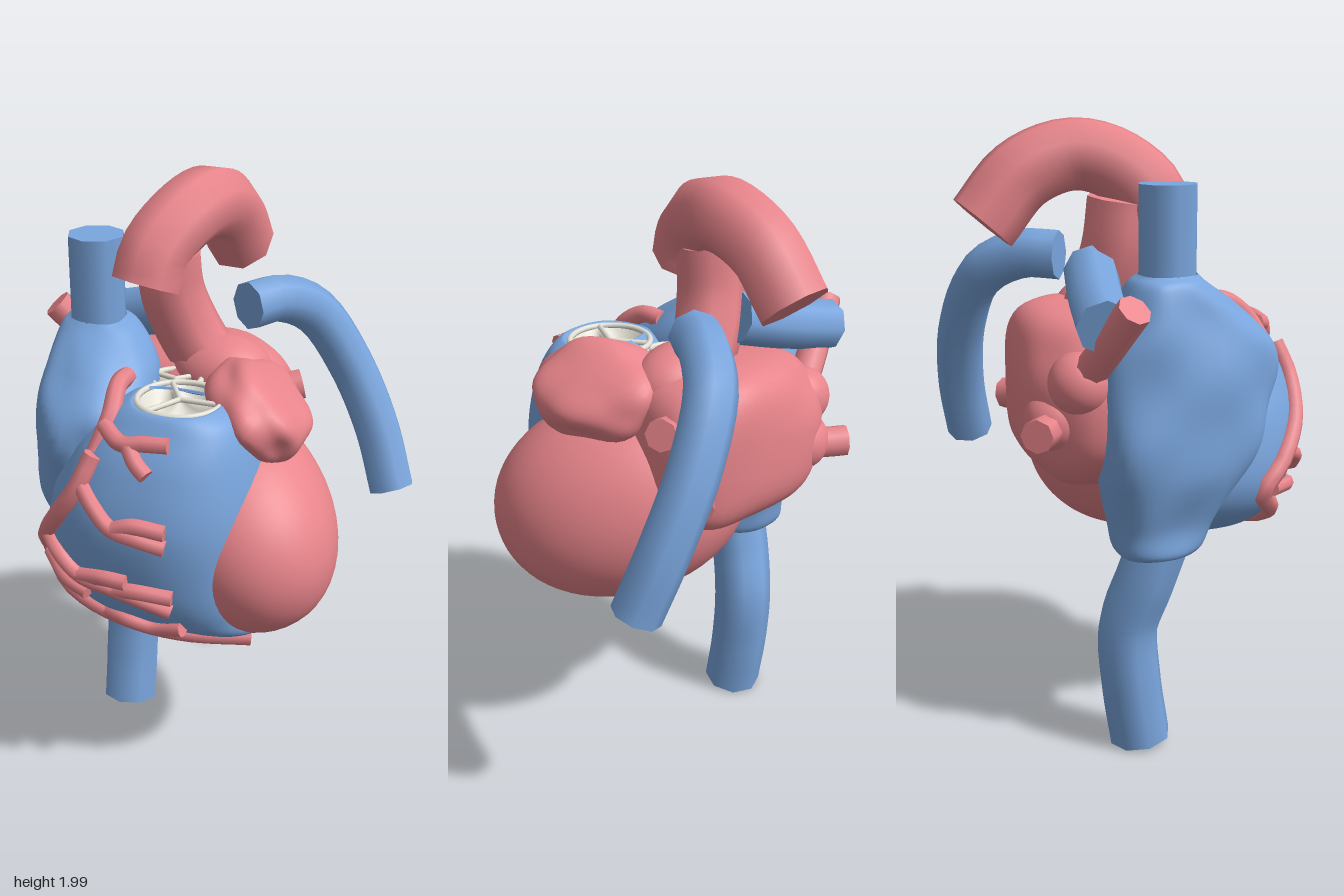
import * as THREE from 'three';
import { mergeVertices } from 'three/addons/utils/BufferGeometryUtils.js';

const V = (p) => new THREE.Vector3(...p);
const mat = (color) => new THREE.MeshStandardMaterial({ color, side: THREE.DoubleSide });
const RED = mat(0xe8858b), BLUE = mat(0x7aa6de), CREAM = mat(0xe4e1d6);

// Cross-sections from bottom to top: [y, centre x, centre z, radius x, radius z]
const RIGHT_VENTRICLE = [
  [0.625, 0.14, 0.2, 0.02, 0.02], [0.65, 0.1, 0.2, 0.22, 0.16], [0.73, 0, 0.18, 0.32, 0.27],
  [0.87, -0.05, 0.17, 0.36, 0.34], [1.07, -0.04, 0.17, 0.345, 0.365], [1.25, -0.01, 0.18, 0.29, 0.31],
  [1.36, 0.02, 0.21, 0.22, 0.215], [1.405, 0.03, 0.235, 0.148, 0.155], [1.4, 0.03, 0.235, 0.13, 0.13],
];
const RIGHT_ATRIUM = [
  [0.68, -0.34, -0.01, 0.02, 0.02], [0.685, -0.34, -0.01, 0.12, 0.13], [0.78, -0.33, 0.01, 0.14, 0.18],
  [0.95, -0.325, 0.05, 0.19, 0.25], [1.15, -0.315, 0.08, 0.2, 0.29], [1.32, -0.305, 0.09, 0.195, 0.29],
  [1.43, -0.31, 0.06, 0.175, 0.21], [1.52, -0.335, 0.02, 0.13, 0.125], [1.55, -0.34, 0.02, 0.09, 0.09],
];
const SQUARENESS = 0.8;

// Smooth interpolation through a list of cross-sections
function sectionAt(sections) {
  const curve = (f) => new THREE.CatmullRomCurve3(sections.map(f), false, 'catmullrom', 0.5);
  const centre = curve((s) => V([s[1], s[0], s[2]]));
  const radius = curve((s) => V([s[3], s[0], s[4]]));
  return (t) => ({ c: centre.getPoint(t), r: radius.getPoint(t) });
}

function smooth(geo) {
  geo.deleteAttribute('uv');
  geo.deleteAttribute('normal');
  const merged = mergeVertices(geo, 1e-5);
  merged.computeVertexNormals();
  return merged;
}

// Gentle waviness for the muscle surfaces
const lumps = (x, y, z) => Math.sin(17 * x + 5 * y) * Math.sin(15 * y + 2) * Math.sin(14 * z + 1);
const signedPower = (v, power) => Math.sign(v) * Math.abs(v) ** power;

// Chamber from cross-sections; rear flattens its back half, skew leans the front towards +x
function loft(sections, lump, rear, skew) {
  const at = sectionAt(sections);
  const geo = new THREE.CylinderGeometry(1, 1, 1, 48, 64, true);
  const p = geo.attributes.position;
  for (let i = 0; i < p.count; i++) {
    const { c, r } = at(p.getY(i) + 0.5);
    const x = signedPower(p.getX(i), SQUARENESS), z = signedPower(p.getZ(i), SQUARENESS);
    const k = 1 + lump * lumps(x * 0.3, c.y, z * 0.3);
    const dz = z * r.z * k * (z < 0 ? rear : 1);
    p.setXYZ(i, c.x + x * r.x * k + skew * dz, c.y, c.z + dz);
  }
  return smooth(geo);
}

// Rounded mass: power below 1 makes it boxier
function blob(radii, power = 1, lump = 0) {
  const geo = new THREE.SphereGeometry(1, 48, 32);
  const p = geo.attributes.position;
  for (let i = 0; i < p.count; i++) {
    const [x, y, z] = [p.getX(i), p.getY(i), p.getZ(i)];
    const k = 1 + lump * lumps(x * 0.25, y * 0.25, z * 0.25);
    p.setXYZ(i, ...[x, y, z].map((v, j) => signedPower(v, power) * radii[j] * k));
  }
  return smooth(geo);
}

// Front z of a lofted chamber at a given x and y
function frontOf(sections) {
  const at = sectionAt(sections);
  return (x, y) => {
    let lo = 0, hi = 1;
    for (let i = 0; i < 24; i++) {
      const m = (lo + hi) / 2;
      if (at(m).c.y < y) lo = m; else hi = m;
    }
    const { c, r } = at(lo);
    const u = Math.min(1, Math.abs((x - c.x) / r.x));
    return c.z + r.z * (1 - u ** (2 / SQUARENESS)) ** (SQUARENESS / 2);
  };
}

export function createModel() {
  const model = new THREE.Group();
  const add = (name, geo, material, pos = [0, 0, 0], rot = [0, 0, 0], parent = model) => {
    const mesh = new THREE.Mesh(geo, material);
    mesh.name = name;
    mesh.position.set(...pos);
    mesh.rotation.set(...rot);
    parent.add(mesh);
    return mesh;
  };
  // Vessel with flat closed ends
  const vessel = (name, pts, radius, material, steps = 20, sides = 8) => {
    const group = new THREE.Group();
    group.name = name;
    const curve = new THREE.CatmullRomCurve3(pts.map(V));
    add(name + 'Wall', new THREE.TubeGeometry(curve, steps, radius, sides), material, [0, 0, 0], [0, 0, 0], group);
    const frames = curve.computeFrenetFrames(steps, false);
    for (const t of [0, 1]) {
      const n = frames.tangents[t * steps].clone().multiplyScalar(t ? 1 : -1);
      const cap = add(name + 'End', new THREE.CircleGeometry(radius, sides), material, curve.getPoint(t).toArray(), [0, 0, 0], group);
      const u = frames.normals[t * steps];
      cap.quaternion.setFromRotationMatrix(new THREE.Matrix4().makeBasis(u, n.clone().cross(u), n));
    }
    model.add(group);
  };

  // Chambers
  add('rightVentricle', loft(RIGHT_VENTRICLE, 0, 0.45, 0), BLUE);
  add('rightAtrium', loft(RIGHT_ATRIUM, 0.06, 1, 0.15), BLUE);
  add('leftVentricle', blob([0.305, 0.335, 0.43], 0.97), RED, [0.155, 0.945, 0.06], [0.43, 0.7, 0]);
  add('leftAtrium', blob([0.345, 0.28, 0.225], 0.75, 0.06), RED, [-0.08, 1.16, -0.185], [0, 0, 0.12]);
  add('leftAuricle', blob([0.17, 0.115, 0.22], 0.88, 0.12), RED, [0.225, 1.335, 0.07], [0.05, 0.4, -0.65]);
  add('aorticRoot', blob([0.17, 0.12, 0.13]), RED, [0.04, 1.37, -0.1]);

  // Great vessels
  vessel('superiorVenaCava', [[-0.34, 1.48, 0.02], [-0.34, 1.65, 0.02], [-0.34, 1.815, 0.02]], 0.092, BLUE, 4);
  vessel('inferiorVenaCava', [[-0.3, 0.02, -0.05], [-0.3, 0.22, -0.08], [-0.3, 0.42, -0.09],
    [-0.33, 0.58, -0.045], [-0.345, 0.72, 0]], 0.1, BLUE);
  vessel('ascendingAorta', [[-0.13, 1.755, -0.06], [-0.12, 1.62, -0.075], [-0.08, 1.5, -0.1], [0, 1.36, -0.12]], 0.108, RED);
  vessel('aorticArch', [[-0.155, 1.685, 0.06], [-0.14, 1.78, 0.025], [-0.09, 1.865, -0.08], [-0.055, 1.888, -0.2],
    [-0.042, 1.83, -0.35], [-0.04, 1.685, -0.475]], 0.115, RED);
  vessel('leftPulmonaryArtery', [[0.09, 1.56, -0.2], [0.16, 1.56, -0.31], [0.25, 1.49, -0.42], [0.37, 1.3, -0.47],
    [0.48, 1.08, -0.46], [0.555, 0.88, -0.42]], 0.08, BLUE);
  vessel('rightPulmonaryArtery', [[-0.14, 1.54, -0.16], [-0.33, 1.48, -0.2], [-0.52, 1.43, -0.23]], 0.085, BLUE, 6);

  // Pulmonary veins, each with a low swelling at its base
  [
    [[-0.32, 1.2, -0.27], [-0.46, 1.34, -0.22], [-0.59, 1.49, -0.165]],
    [[-0.27, 1.12, -0.3], [-0.35, 1.1, -0.36], [-0.42, 1.1, -0.41]],
    [[0.1, 1.25, -0.15], [0.19, 1.28, -0.2], [0.27, 1.3, -0.24]],
    [[0.1, 1.1, -0.25], [0.18, 1.09, -0.31], [0.235, 1.08, -0.36]],
  ].forEach((pts, i) => {
    vessel('pulmonaryVein' + (i + 1), pts, 0.052, RED, 8);
    add('pulmonaryVeinBase', blob([0.1, 0.1, 0.1]), RED, V(pts[0]).lerp(V(pts[1]), 0.25).toArray());
  });

  // Three-cusped valves: hollow pockets, a rim and three ridges
  const valve = (name, radius, pos, turn) => {
    const group = new THREE.Group();
    group.name = name;
    const cusps = new THREE.RingGeometry(0.002, radius, 72, 12);
    const p = cusps.attributes.position;
    for (let i = 0; i < p.count; i++) {
      const x = p.getX(i), y = p.getY(i), r = Math.hypot(x, y) / radius;
      const pocket = Math.sqrt(Math.abs(Math.sin(1.5 * Math.atan2(y, x))));
      p.setZ(i, -0.07 * pocket * Math.sin(Math.PI * Math.min(1, r)));
    }
    add('cusps', smooth(cusps), CREAM, [0, 0, 0], [-Math.PI / 2, 0, 0], group);
    add('rim', new THREE.TorusGeometry(radius, 0.01, 8, 48), CREAM, [0, 0, 0], [-Math.PI / 2, 0, 0], group);
    for (let i = 0; i < 3; i++) {
      const a = (i * 2 * Math.PI) / 3;
      const line = new THREE.LineCurve3(V([0, 0, 0]), V([radius * Math.cos(a), 0, radius * Math.sin(a)]));
      add('ridge', new THREE.TubeGeometry(line, 1, 0.009, 8), CREAM, [0, 0, 0], [0, 0, 0], group);
    }
    group.position.set(...pos);
    group.rotation.y = turn;
    model.add(group);
  };
  valve('pulmonaryValve', 0.132, [0.03, 1.4, 0.235], 0.05);
  valve('aorticValve', 0.08, [-0.06, 1.38, 0.05], 0.8);

  // Coronary arteries follow the front of the right chambers
  const ventricleFront = frontOf(RIGHT_VENTRICLE), atriumFront = frontOf(RIGHT_ATRIUM);
  const coronary = (name, pts, radius) => vessel(name, pts.map(([x, y]) =>
    [x, y, Math.max(0.27, ventricleFront(x, y), x < -0.15 ? atriumFront(x, y) : 0) + 0.01]), radius, RED, 28);
  vessel('coronaryOrigin', [[-0.165, 1.43, 0.19], [-0.16, 1.43, 0.27], [-0.145, 1.37, 0.36], [-0.17, 1.27, 0.42]], 0.03, RED);
  coronary('rightCoronary', [[-0.16, 1.28], [-0.2, 1.18], [-0.28, 1.06], [-0.36, 0.94], [-0.385, 0.85],
    [-0.3, 0.77], [-0.2, 0.715], [-0.05, 0.67], [0.1, 0.645], [0.29, 0.63]], 0.031);
  [
    [[-0.15, 1.35], [-0.07, 1.33], [0, 1.34], [0.08, 1.345]],
    [[-0.05, 1.335], [-0.01, 1.29], [0.03, 1.26]],
    [[-0.2, 1.2], [-0.13, 1.14], [-0.07, 1.09], [0.02, 1.07], [0.1, 1.05]],
    [[-0.06, 1.09], [0, 1.11], [0.1, 1.1]],
    [[-0.34, 0.96], [-0.28, 0.93], [-0.2, 0.88], [-0.08, 0.86], [0.1, 0.8]],
    [[-0.08, 0.86], [0, 0.87], [0.11, 0.86]],
    [[-0.2, 0.88], [-0.1, 0.9], [-0.03, 0.9]],
    [[-0.37, 0.85], [-0.26, 0.83], [-0.18, 0.81]],
    [[-0.16, 0.7], [-0.08, 0.71], [0.02, 0.69], [0.12, 0.715]],
  ].forEach((pts, i) => coronary('coronaryBranch' + (i + 1), pts, 0.026));

  return model;
}
